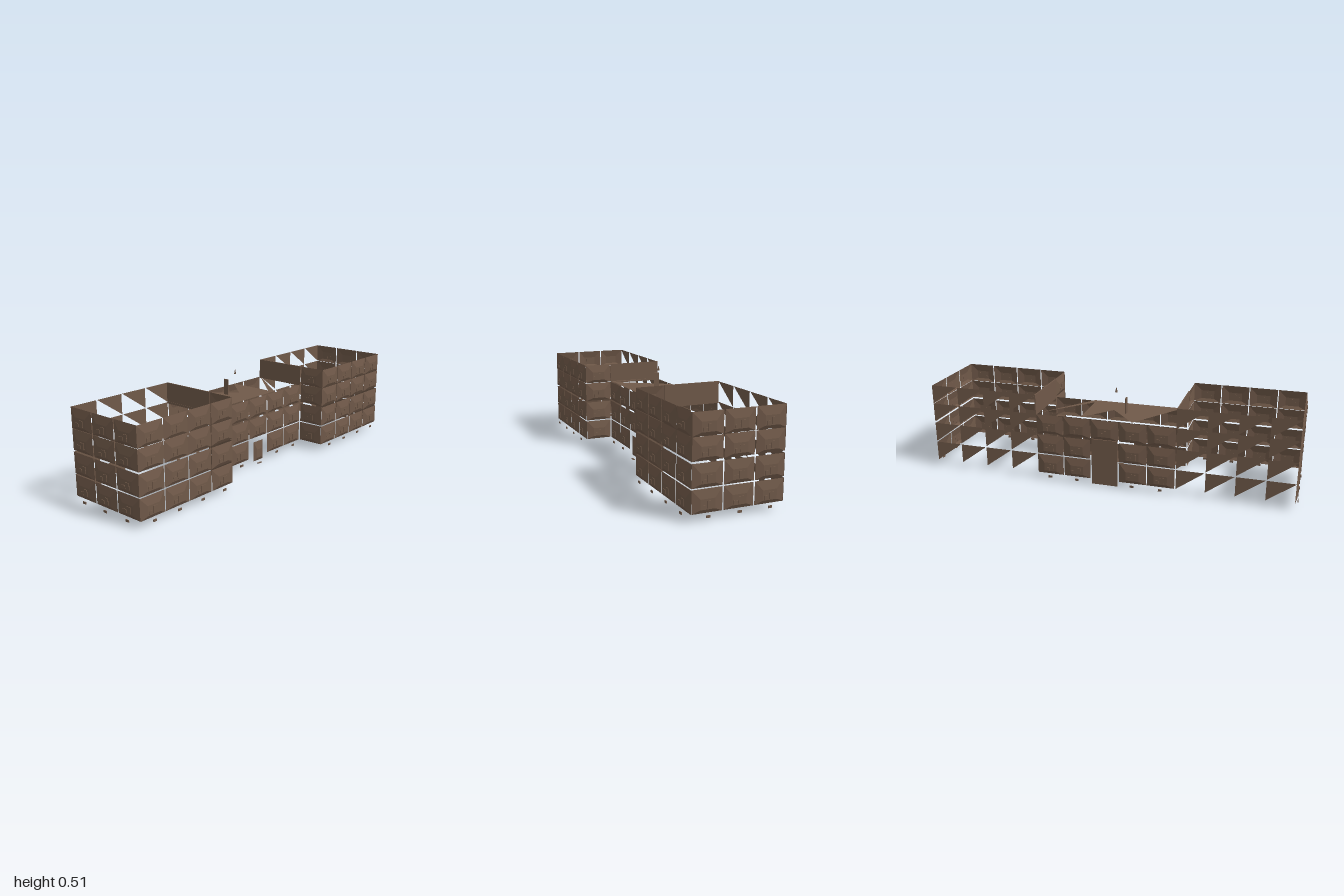
import * as THREE from 'three';

const brown = new THREE.MeshStandardMaterial({ color: 0x705949, flatShading: true, side: THREE.DoubleSide });
brown.name = 'weathered brown';

// floor heights as [bottom, top]
const FLOORS = [[0.038, 0.145], [0.151, 0.258], [0.267, 0.371], [0.373, 0.476]];

function add(parent, name, geometry, x = 0, y = 0, z = 0) {
  const mesh = new THREE.Mesh(geometry, brown);
  mesh.name = name;
  mesh.position.set(x, y, z);
  parent.add(mesh);
  return mesh;
}

// faces from 3D points and triangle indices
function faces(points, index) {
  const g = new THREE.BufferGeometry();
  g.setAttribute('position', new THREE.Float32BufferAttribute(points.flat(), 3));
  g.setIndex(index);
  const flat = g.toNonIndexed();
  flat.computeVertexNormals();
  return flat;
}

// shallow panel: outer edge rising to a small centre pane
function panelGeometry(w, h) {
  const rect = (a, y0, y1, z) => [[-a, y0, z], [a, y0, z], [a, y1, z], [-a, y1, z]];
  const points = [...rect(w / 2, 0, h, 0), ...rect(w * 0.24, h * 0.16, h * 0.6, 0.009)];
  const index = [4, 5, 6, 4, 6, 7];
  for (let i = 0; i < 4; i++) {
    const j = (i + 1) % 4;
    index.push(i, j, j + 4, i, j + 4, i + 4);
  }
  return faces(points, index);
}

// one bay: panel with a raised window
function bay(wall, u, w, [y0, y1]) {
  const h = y1 - y0;
  add(wall, 'wallPanel', panelGeometry(w, h), u, y0, 0);
  add(wall, 'windowPane', new THREE.BoxGeometry(0.024, h * 0.3, 0.004), u + 0.008, y0 + h * 0.36, 0.01);
  add(wall, 'windowSash', new THREE.BoxGeometry(0.022, h * 0.16, 0.004), u - 0.018, y0 + h * 0.28, 0.01);
}

function cellarWindow(wall, u) {
  add(wall, 'cellarWindow', new THREE.BoxGeometry(0.02, 0.011, 0.004), u, 0.025, 0.013);
}

// half panel: top edge and one upright edge
function halfBay(wall, u, w, [y0, y1]) {
  add(wall, 'halfPanel', faces([[u - w / 2, y1, 0], [u - w / 2, y0, 0], [u + w / 2, y1, 0]], [0, 1, 2]));
}

// wall group facing its local +z
function makeWall(parent, name, x, z, turn) {
  const wall = new THREE.Group();
  wall.name = name;
  wall.position.set(x, 0, z);
  wall.rotation.y = turn;
  parent.add(wall);
  return wall;
}

function buildWing(parent, side) {
  const wing = new THREE.Group();
  wing.name = side > 0 ? 'leftWing' : 'rightWing';
  parent.add(wing);
  const cx = side * 0.684;
  const front = makeWall(wing, 'wingFront', cx, 0.227, 0);
  const back = makeWall(wing, 'wingBack', cx, -0.225, Math.PI);
  const end = makeWall(wing, 'wingEnd', side * 0.983, 0, side * Math.PI / 2);
  const inner = makeWall(wing, 'wingInnerWall', side * 0.383, 0.152, -side * Math.PI / 2);
  for (let i = 0; i < 4; i++) {
    const u = (i - 1.5) * 0.152;
    for (const f of FLOORS) {
      bay(front, u, 0.147, f);
      halfBay(back, u, 0.147, f);
    }
    cellarWindow(front, u);
  }
  for (let i = -1; i <= 1; i++) {
    for (const f of FLOORS) bay(end, i * 0.152, 0.146, f);
    cellarWindow(end, i * 0.152);
  }
  for (const f of FLOORS) bay(inner, 0, 0.146, f);
  // plain upper wall above the middle roof
  add(wing, 'upperInnerWall', new THREE.BoxGeometry(0.006, 0.112, 0.3), side * 0.381, 0.421, -0.075);
}

function buildMiddle(parent) {
  const middle = new THREE.Group();
  middle.name = 'middleBlock';
  parent.add(middle);
  const front = makeWall(middle, 'middleFront', 0, 0.075, 0);
  const back = makeWall(middle, 'middleBack', 0, -0.225, Math.PI);
  for (const wall of [front, back]) {
    for (const u of [-0.303, -0.152, 0.152, 0.303]) {
      for (const f of FLOORS.slice(0, 3)) bay(wall, u, 0.146, f);
      cellarWindow(wall, u);
    }
    bay(wall, 0, 0.146, FLOORS[2]);
  }
  // front entrance and the tall rear stair panel
  bay(front, 0, 0.146, FLOORS[1]);
  add(front, 'doorPanel', panelGeometry(0.075, 0.11), 0, 0.015, 0);
  add(front, 'doorStep', new THREE.BoxGeometry(0.03, 0.003, 0.01), 0, 0.0015, 0.012);
  add(back, 'stairPanel', new THREE.BoxGeometry(0.14, 0.255, 0.006), 0, 0.138, 0);

  // broken roof sheets, each [x, z] outline at roof height
  const sheets = [
    [[-0.35, 0.07], [-0.145, -0.22], [0.11, 0.07]],
    [[0.135, -0.22], [-0.02, -0.04], [0.11, 0.07]],
    [[0.135, -0.22], [0.11, 0.07], [0.135, 0.05]],
    [[0.375, -0.22], [0.1, 0.07], [0.145, 0.07]],
    [[-0.385, -0.22], [-0.385, 0.07], [-0.345, 0.07]],
  ];
  for (const s of sheets) add(middle, 'roofSheet', faces(s.map(([x, z]) => [x, 0.376, z]), [0, 1, 2]));

  // roof chimney and spire tip
  add(middle, 'chimney', new THREE.BoxGeometry(0.006, 0.085, 0.028), -0.078, 0.418, -0.085);
  add(middle, 'spireTip', new THREE.ConeGeometry(0.007, 0.03, 4), -0.02, 0.497, -0.072);
}

export function createModel() {
  const model = new THREE.Group();
  model.name = 'building';
  for (const side of [-1, 1]) buildWing(model, side);
  buildMiddle(model);
  return model;
}
